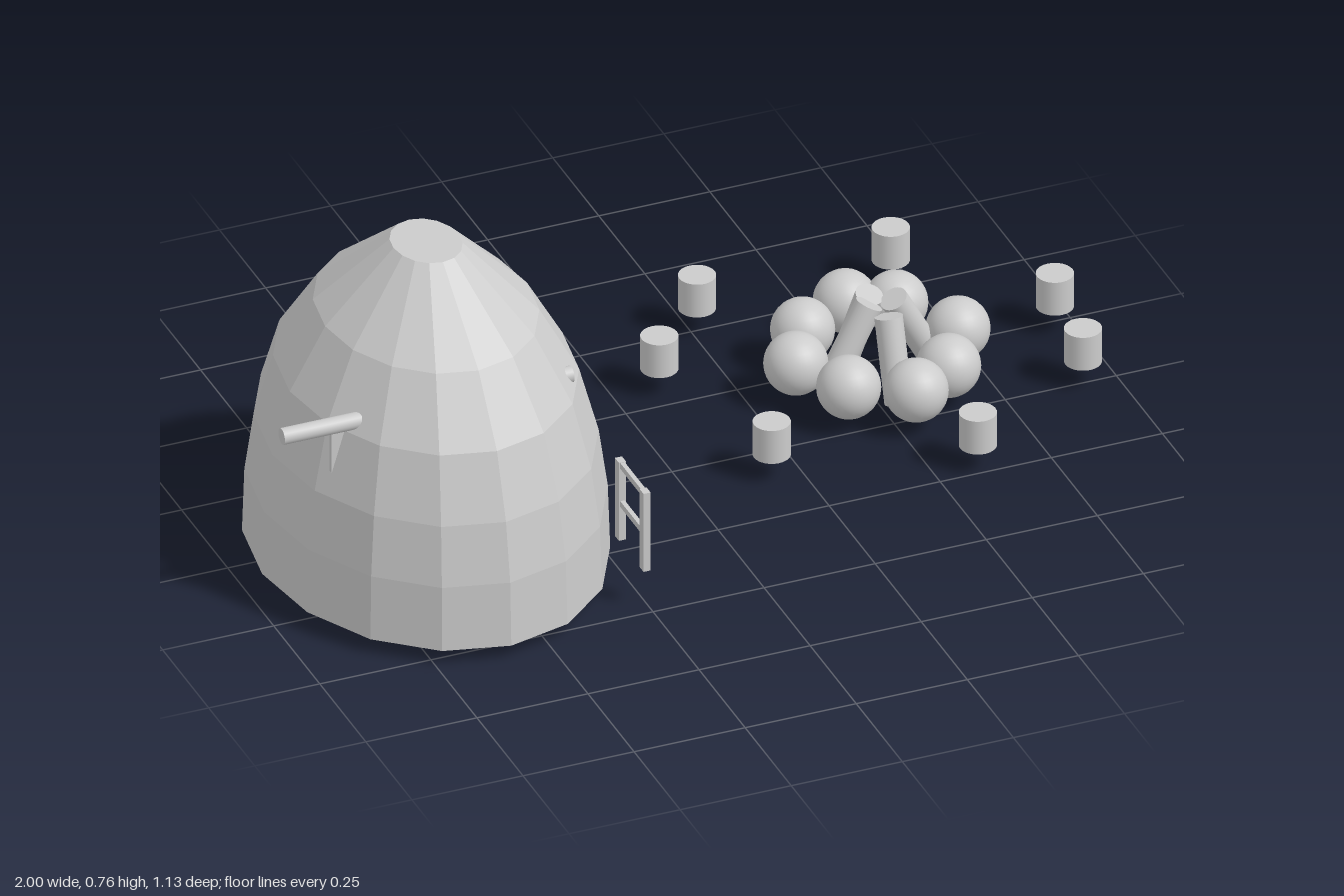
import * as THREE from 'three';

const grey = new THREE.MeshStandardMaterial({ color: 0xcccccc });
const flat = new THREE.MeshStandardMaterial({ color: 0xcccccc, flatShading: true, side: THREE.DoubleSide });

function add(parent, name, geometry, x = 0, y = 0, z = 0, material = grey) {
  const mesh = new THREE.Mesh(geometry, material);
  mesh.name = name;
  mesh.position.set(x, y, z);
  parent.add(mesh);
  return mesh;
}

// Cylinder running from point a to point b
function rod(parent, name, a, b, radius) {
  const from = new THREE.Vector3(...a), to = new THREE.Vector3(...b);
  const dir = to.clone().sub(from);
  const mid = from.add(to).multiplyScalar(0.5);
  const mesh = add(parent, name, new THREE.CylinderGeometry(radius, radius, dir.length(), 24), mid.x, mid.y, mid.z);
  mesh.quaternion.setFromUnitVectors(new THREE.Vector3(0, 1, 0), dir.normalize());
  return mesh;
}

// Dome: [height, radius along z]; the plan is an ellipse of 16 sides
const CENTRE = [-0.595, 0.1];
const SIDES = 16, FLATTEN = 0.797, WALL = 0.012;
const PROFILE = [[0.04, 0.463], [0.19, 0.457], [0.325, 0.434], [0.47, 0.385], [0.61, 0.285], [0.765, 0.092]];

function domeGeometry() {
  const pos = [];
  const quad = (a, b, c, d) => pos.push(...a, ...b, ...c, ...a, ...c, ...d);
  const point = (i, j, inset) => {
    const a = (i / SIDES) * Math.PI * 2, [y, r] = PROFILE[j];
    const top = j === PROFILE.length - 1 ? inset : 0;
    return [CENTRE[0] + Math.cos(a) * (r * FLATTEN - inset), y - top, CENTRE[1] + Math.sin(a) * (r - inset)];
  };
  const isDoor = (i, j) => i === 0 && j < 2;
  const last = PROFILE.length - 1;
  for (let i = 0; i < SIDES; i++) {
    for (let j = 0; j < last; j++) {
      if (isDoor(i, j)) {
        // door jambs
        quad(point(0, j, 0), point(0, j + 1, 0), point(0, j + 1, WALL), point(0, j, WALL));
        quad(point(1, j, 0), point(1, j, WALL), point(1, j + 1, WALL), point(1, j + 1, 0));
        continue;
      }
      quad(point(i, j, 0), point(i, j + 1, 0), point(i + 1, j + 1, 0), point(i + 1, j, 0));
      quad(point(i, j, WALL), point(i + 1, j, WALL), point(i + 1, j + 1, WALL), point(i, j + 1, WALL));
    }
    // foot rim, or the door lintel
    const foot = i === 0 ? 2 : 0;
    quad(point(i, foot, 0), point(i + 1, foot, 0), point(i + 1, foot, WALL), point(i, foot, WALL));
    // flat crown, outside and inside
    const y = PROFILE[last][0];
    pos.push(CENTRE[0], y, CENTRE[1], ...point(i + 1, last, 0), ...point(i, last, 0));
    pos.push(CENTRE[0], y - WALL, CENTRE[1], ...point(i, last, WALL), ...point(i + 1, last, WALL));
  }
  const geometry = new THREE.BufferGeometry();
  geometry.setAttribute('position', new THREE.Float32BufferAttribute(pos, 3));
  geometry.computeVertexNormals();
  return geometry;
}

// Ring of stones around four leaning logs, in its own local frame
const STONES = [[0, -0.19], [0.095, -0.145], [0.175, 0], [0.1, 0.13], [0, 0.195], [-0.125, 0.13], [-0.19, 0], [-0.125, -0.12]];
const LOGS = [
  [[-0.125, 0.025, 0.01], [-0.025, 0.205, 0]],
  [[0.13, 0.025, -0.02], [0.03, 0.205, 0]],
  [[0, 0.015, 0.1], [0, 0.195, 0.045]],
  [[-0.035, 0.03, -0.1], [-0.01, 0.205, -0.035]],
];

function firePit(name) {
  const pit = new THREE.Group();
  pit.name = name;
  const stone = new THREE.SphereGeometry(0.068, 32, 16);
  STONES.forEach(([x, z]) => add(pit, 'fireStone', stone, x, 0.1, z));
  LOGS.forEach(([a, b]) => rod(pit, 'fireLog', a, b, 0.03));
  return pit;
}

export function createModel() {
  const model = new THREE.Group();
  model.name = 'hutAndCampfire';

  // Hut
  const hut = new THREE.Group();
  hut.name = 'hut';
  model.add(hut);
  add(hut, 'domeShell', domeGeometry(), 0, 0, 0, flat);

  // Inner partition beside the doorway, following the dome
  const partition = new THREE.Shape([
    [-0.75, 0.04], [-0.24, 0.04], [-0.245, 0.19], [-0.265, 0.325], [-0.304, 0.46], [-0.75, 0.46],
  ].map(([x, y]) => new THREE.Vector2(x, y)));
  add(hut, 'partition', new THREE.ShapeGeometry(partition), 0, 0, 0.093, flat);

  // Beam through the dome with a small bracket under its outer end
  rod(hut, 'beam', [-1, 0.492, 0.293], [-0.348, 0.492, 0.293], 0.018);
  const bracket = new THREE.Shape([[-0.89, 0.38], [-0.86, 0.48], [-0.89, 0.48]].map(([x, y]) => new THREE.Vector2(x, y)));
  add(hut, 'bracket', new THREE.ExtrudeGeometry(bracket, { depth: 0.012, bevelEnabled: false }), 0, 0, 0.287, flat);

  // Door frame standing beside the opening
  const gate = new THREE.Group();
  gate.name = 'gate';
  gate.position.set(-0.255, 0.19, 0.402);
  hut.add(gate);
  for (const side of [-1, 1]) add(gate, 'gatePost', new THREE.BoxGeometry(0.016, 0.19, 0.022), 0, 0, side * 0.067);
  for (const y of [0.087, -0.006]) add(gate, 'gateRail', new THREE.BoxGeometry(0.01, 0.014, 0.134), 0, y, 0);

  // Campfire outside with its seats
  const fire = firePit('campfire');
  fire.position.set(0.535, 0, -0.16);
  model.add(fire);
  const seat = new THREE.CylinderGeometry(0.04, 0.04, 0.08, 24);
  const seats = [[0.1, -0.31], [0.265, -0.503], [0.71, -0.525], [0.955, -0.225], [0.925, 0], [0.595, 0.225], [0.185, 0.095]];
  seats.forEach(([x, z]) => add(model, 'logSeat', seat, x, 0.1, z));

  // Small hearth inside the hut with its seats
  const hearth = firePit('hearth');
  hearth.scale.setScalar(0.24);
  hearth.position.set(-0.655, 0.05, -0.13);
  hut.add(hearth);
  const stool = new THREE.CylinderGeometry(0.022, 0.022, 0.045, 20);
  const stools = [[0.145, 0.095], [0.118, -0.11], [-0.104, -0.09], [-0.2, 0.058], [-0.012, 0.155]];
  stools.forEach(([x, z]) => add(hut, 'hutStool', stool, -0.655 + x, 0.075, -0.13 + z));

  return model;
}
